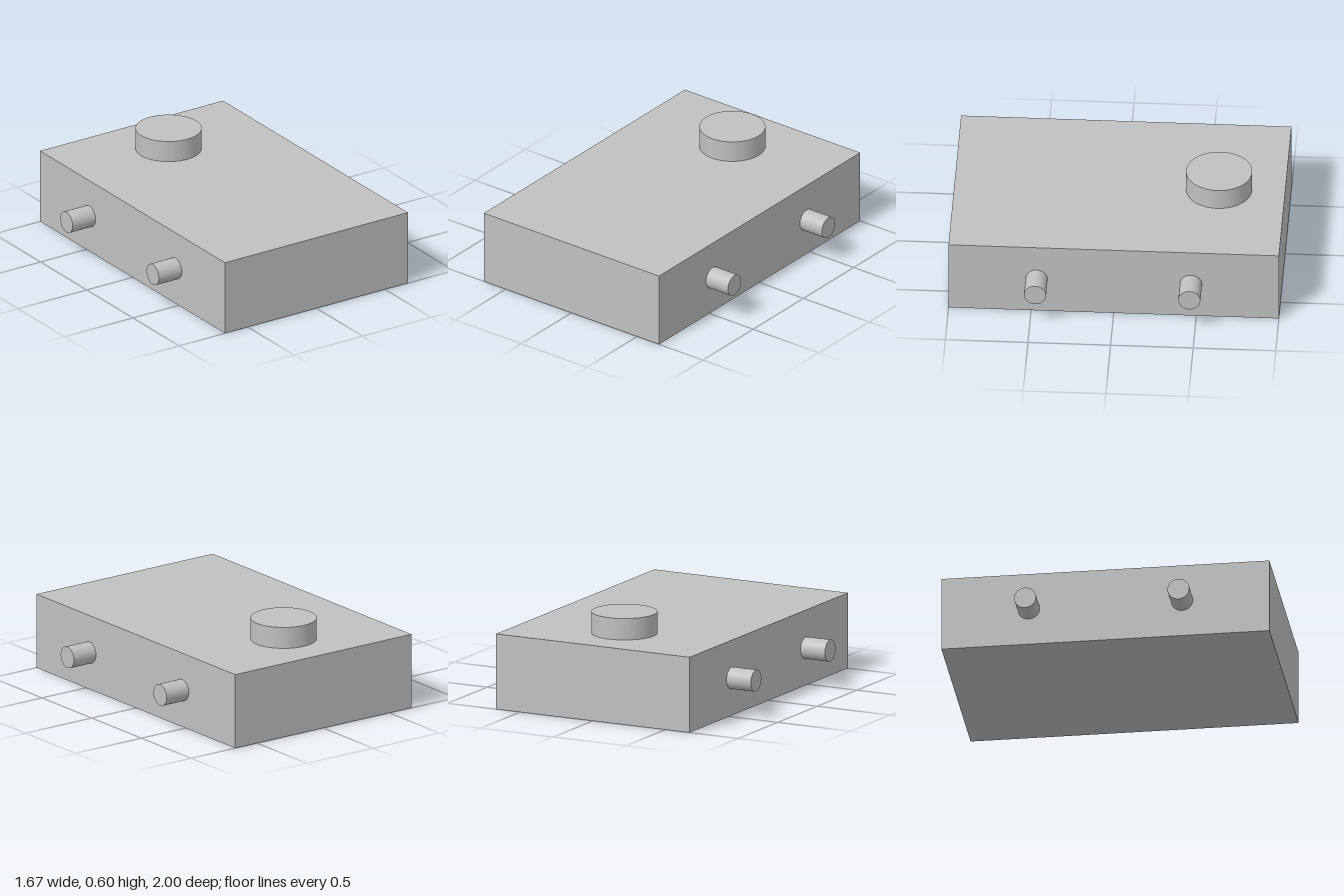
import * as THREE from 'three';

export function createModel() {
  const group = new THREE.Group();
  const grey = new THREE.MeshStandardMaterial({ color: 0xc0c0c0 });
  grey.name = 'plain grey';

  const width = 1.333, height = 0.467, length = 2;

  function add(name, geometry, x, y, z) {
    const mesh = new THREE.Mesh(geometry, grey);
    mesh.name = name;
    mesh.position.set(x, y, z);
    group.add(mesh);
    return mesh;
  }

  // Main block
  add('body', new THREE.BoxGeometry(width, height, length), 0, height / 2, 0);

  // Round cap on top, towards the back
  const capHeight = 0.133;
  add('topCap', new THREE.CylinderGeometry(0.2, 0.2, capHeight, 64), 0, height + capHeight / 2, -0.6);

  // Two axle pegs on each side
  const pegLength = 0.167;
  const pegGeometry = new THREE.CylinderGeometry(0.0667, 0.0667, pegLength, 48);
  for (const side of [1, -1]) {
    for (const end of [1, -1]) {
      const name = (end > 0 ? 'front' : 'back') + (side > 0 ? 'Left' : 'Right') + 'Peg';
      const peg = add(name, pegGeometry, side * (width + pegLength) / 2, height / 2, end * 0.467);
      peg.rotation.z = -side * Math.PI / 2;
    }
  }

  return group;
}
